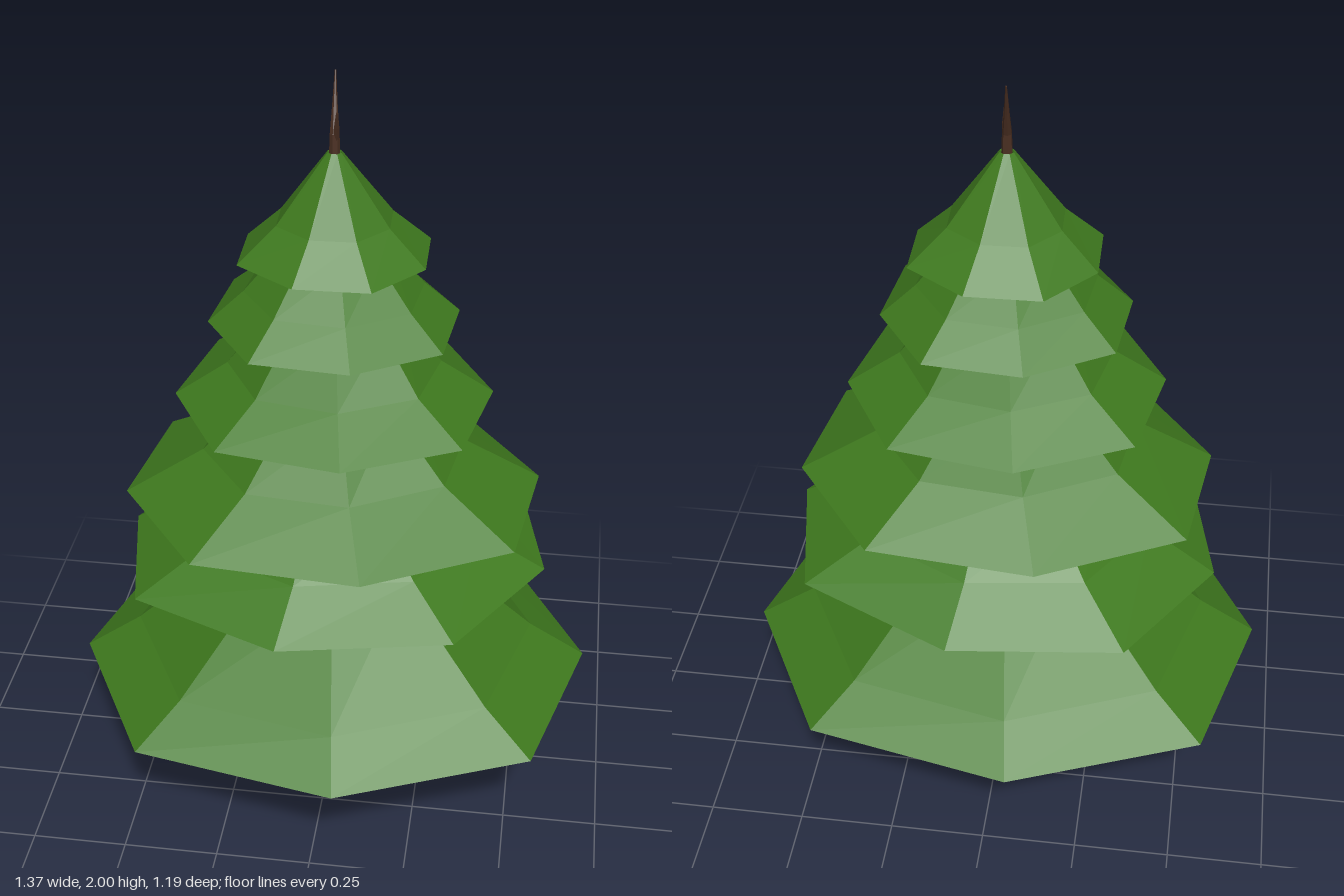
import * as THREE from 'three';

const needles = new THREE.MeshStandardMaterial({ color: 0x3f7a1e, flatShading: true, side: THREE.DoubleSide });
const bark = new THREE.MeshStandardMaterial({ color: 0x4a2f22, flatShading: true });

// Skin a list of equally sized rings of points
function loft(rings, closed = false) {
  const pos = [];
  const n = rings[0].length;
  const tri = (...pts) => pts.forEach((p) => pos.push(p.x, p.y, p.z));
  const last = closed ? rings.length : rings.length - 1;
  for (let i = 0; i < last; i++) {
    const lo = rings[i], up = rings[(i + 1) % rings.length];
    for (let j = 0; j < n; j++) {
      const k = (j + 1) % n;
      tri(lo[j], up[j], lo[k]);
      tri(up[j], up[k], lo[k]);
    }
  }
  const geo = new THREE.BufferGeometry();
  geo.setAttribute('position', new THREE.Float32BufferAttribute(pos, 3));
  geo.computeVertexNormals();
  return geo;
}

function addMesh(group, name, geo, mat) {
  const mesh = new THREE.Mesh(geo, mat);
  mesh.name = name;
  group.add(mesh);
}

// Hollow eight-sided skirt of branches with a thin wall
function skirt({ rim, mid, top, rz, phase, tilt = 0, dz = 0, wall = 0.02 }) {
  const squash = rz / rim[0];
  const ring = (r, y, t) => Array.from({ length: 8 }, (_, j) => {
    const a = THREE.MathUtils.degToRad(phase + j * 45);
    const k = r * (1 + 0.05 * t * (j % 2));
    const x = Math.cos(a) * k;
    const z = Math.sin(a) * k * THREE.MathUtils.lerp(1, squash, t);
    return new THREE.Vector3(x, y + tilt * x * t, z + dz * t);
  });
  return loft([
    ring(Math.max(top[0] - wall, 0.008), top[1] - wall, 0.2),
    ring(mid[0] - wall, mid[1] - wall, 0.8),
    ring(rim[0] - wall * 1.3, rim[1] - wall * 0.5, 1),
    ring(rim[0], rim[1], 1),
    ring(mid[0], mid[1], 0.8),
    ring(top[0], top[1], 0.2),
  ], true);
}

// Tapering limb through points [x, y, z, radius], capped at both ends
function limb(points, sides, ref) {
  const p = points.map((q) => new THREE.Vector3(q[0], q[1], q[2]));
  const rings = p.map((c, i) => {
    const d = p[Math.min(i + 1, p.length - 1)].clone().sub(p[Math.max(i - 1, 0)]).normalize();
    const u = d.clone().cross(ref).normalize();
    const v = u.clone().cross(d);
    return Array.from({ length: sides }, (_, j) => {
      const a = (j / sides) * Math.PI * 2;
      const s = c.clone().addScaledVector(u, Math.cos(a) * points[i][3])
        .addScaledVector(v, Math.sin(a) * points[i][3]);
      s.y = Math.max(0, s.y);
      return s;
    });
  });
  const cap = (c) => Array.from({ length: sides }, () => c);
  return loft([cap(p[0]), ...rings, cap(p[p.length - 1])]);
}

export function createModel() {
  const tree = new THREE.Group();
  tree.name = 'pineTree';

  // Foliage tiers from bottom to top: [radius, height] at rim, bend and top
  const tiers = [
    { rim: [0.69, 0.33], mid: [0.54, 0.43], top: [0.25, 0.69], rz: 0.6, phase: -6, tilt: 0.01 },
    { rim: [0.57, 0.68], mid: [0.39, 0.78], top: [0.25, 0.905], rz: 0.49, phase: 9, tilt: 0.035, dz: -0.02 },
    { rim: [0.545, 0.89], mid: [0.34, 1.01], top: [0.18, 1.175], rz: 0.455, phase: -13, tilt: 0.007, dz: 0.012 },
    { rim: [0.405, 1.16], mid: [0.27, 1.25], top: [0.16, 1.39], rz: 0.38, phase: -9 },
    { rim: [0.315, 1.38], mid: [0.225, 1.46], top: [0.13, 1.57], rz: 0.3, phase: -14 },
    { rim: [0.24, 1.55], mid: [0.145, 1.64], top: [0.018, 1.815], rz: 0.225, phase: 18, dz: -0.012 },
  ];
  tiers.forEach((t, i) => addMesh(tree, `foliageTier${i + 1}`, skirt(t), needles));

  // Trunk running through all tiers, ending in a forked tip
  const Z = new THREE.Vector3(0, 0, 1), Y = new THREE.Vector3(0, 1, 0);
  addMesh(tree, 'trunk', limb([
    [0, 0, 0, 0.075], [0, 0.06, 0, 0.06], [0.018, 0.33, 0, 0.052], [0.02, 0.7, 0.005, 0.046],
    [0.005, 1.1, 0, 0.037], [0, 1.5, 0, 0.026], [0, 1.8, 0, 0.014], [0, 1.86, 0, 0.012],
    [-0.002, 1.92, -0.02, 0.007], [-0.004, 2, -0.046, 0.002],
  ], 7, Z), bark);
  addMesh(tree, 'tipTwig', limb([
    [0.003, 1.84, 0, 0.009], [0.006, 1.88, 0.01, 0.007], [0.008, 1.92, 0.021, 0.002],
  ], 5, Z), bark);

  // Roots spreading over the ground
  const roots = [[0.08, 0.18], [-0.155, -0.18], [0.075, -0.075], [-0.13, 0.05]];
  roots.forEach(([x, z], i) => addMesh(tree, `root${i + 1}`, limb([
    [0, 0.06, 0, 0.04], [x * 0.5, 0.03, z * 0.5, 0.036], [x * 0.85, 0.015, z * 0.85, 0.026], [x, 0.01, z, 0.019],
  ], 6, Y), bark));

  return tree;
}
